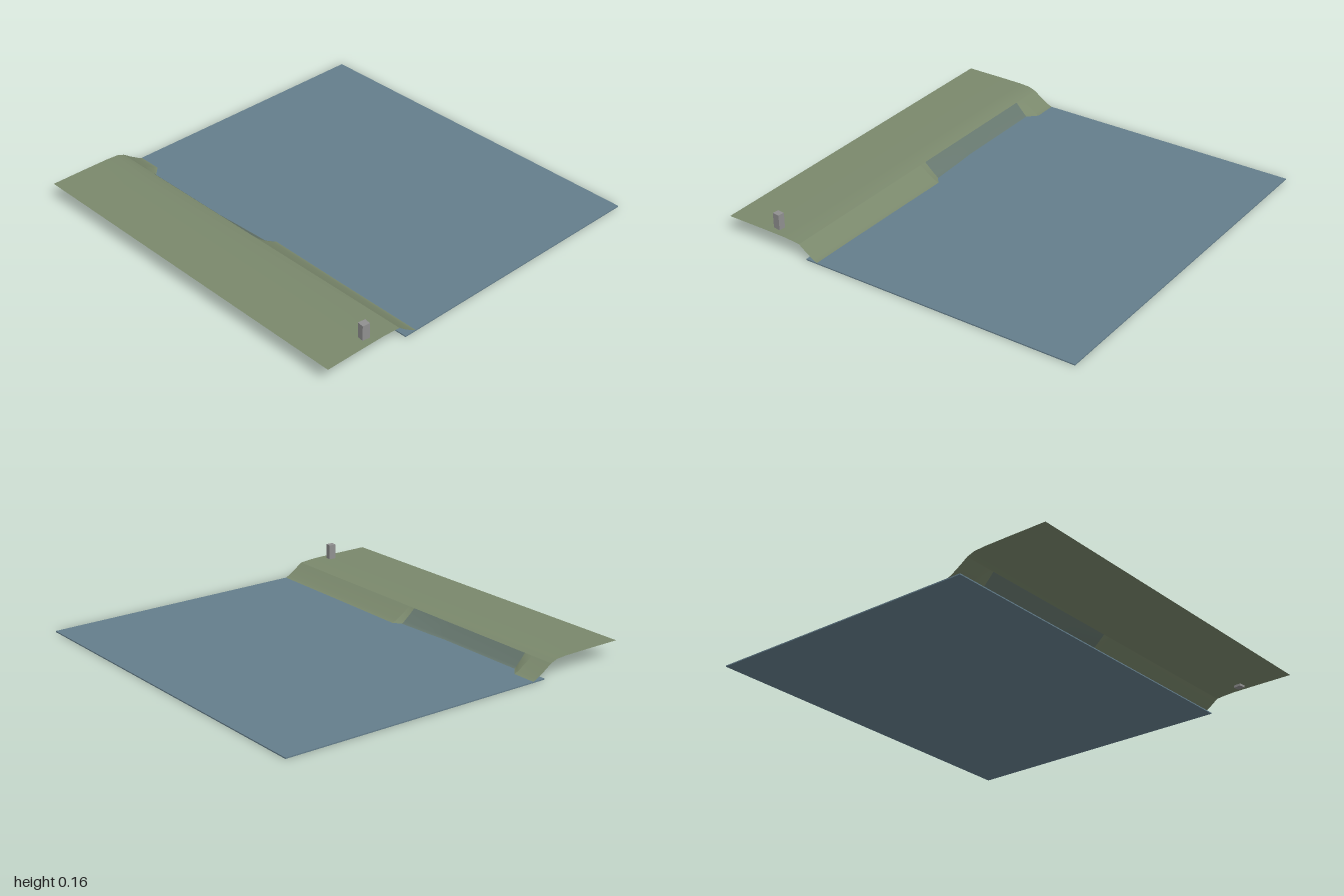
import * as THREE from 'three';

const material = (color) => new THREE.MeshStandardMaterial({ color, side: THREE.DoubleSide });
const grass = material(0x7a886c);
const wetBank = material(0x67786f);
const water = material(0x647e8c);
const stone = material(0x909090);

// Ground falls gently towards the front
const groundHeight = (z) => 0.088 - 0.005 * z;

// Cross-sections as [x, y]: the full bank, and the bank cut back by the inlet
const fullBank = [[-0.56, 0.074], [-0.52, 0.046], [-0.47, 0.015], [-0.445, 0.005], [-0.39, 0.001]];
const cutBank = [[-0.56, 0.074], [-0.535, 0.046], [-0.507, 0.018], [-0.495, 0.005], [-0.45, 0.001]];

// Meadow profile at depth z, dropping softly at its rim
const meadowRow = (z) => [
  [-1, groundHeight(z)], [-0.8, groundHeight(z)], [-0.66, groundHeight(z) - 0.001],
  [-0.6, groundHeight(z) - 0.005], [-0.56, 0.074],
];

// Bank profile blended between full (0) and cut back (1)
const bankRow = (cut) => fullBank.map(([x, y], i) => [
  THREE.MathUtils.lerp(x, cutBank[i][0], cut),
  THREE.MathUtils.lerp(y, cutBank[i][1], cut),
]);

// Surface joining profiles placed along z
function loft(name, rows, mat) {
  const positions = [];
  const index = [];
  const n = rows[0].points.length;
  rows.forEach(({ z, points }) => points.forEach(([x, y]) => positions.push(x, y, z)));
  for (let r = 0; r < rows.length - 1; r++) {
    for (let i = 0; i < n - 1; i++) {
      const a = r * n + i;
      index.push(a, a + n, a + 1, a + 1, a + n, a + n + 1);
    }
  }
  const geometry = new THREE.BufferGeometry();
  geometry.setAttribute('position', new THREE.Float32BufferAttribute(positions, 3));
  geometry.setIndex(index);
  geometry.computeVertexNormals();
  const mesh = new THREE.Mesh(geometry, mat);
  mesh.name = name;
  return mesh;
}

function box(name, size, position, mat) {
  const mesh = new THREE.Mesh(new THREE.BoxGeometry(...size), mat);
  mesh.position.set(...position);
  mesh.name = name;
  return mesh;
}

export function createModel() {
  const group = new THREE.Group();
  group.name = 'shoreline';

  // Meadow above the shore
  const meadowRows = Array.from({ length: 9 }, (_, i) => {
    const z = -1 + i * 0.25;
    return { z, points: meadowRow(z) };
  });
  group.add(loft('meadow', meadowRows, grass));

  // Bank sections as [z, cut] stations; separate sections keep the inlet corners sharp
  const sections = [
    ['backBank', [[-1, 0], [-0.87, 0]], grass],
    ['inletBackEnd', [[-0.87, 0], [-0.82, 1]], grass],
    ['inletBank', [[-0.82, 1], [-0.3, 1], [-0.2, 0.85], [0.01, 0.65]], wetBank],
    ['inletFrontEnd', [[0.01, 0.65], [0.05, 0]], grass],
    ['frontBank', [[0.05, 0], [0.5, 0.1], [1, 0.15]], grass],
  ];
  for (const [name, stations, mat] of sections) {
    group.add(loft(name, stations.map(([z, cut]) => ({ z, points: bankRow(cut) })), mat));
  }

  // Thin sheet of water reaching under the bank
  group.add(box('water', [1.52, 0.006, 2], [0.24, 0.003, 0], water));

  // Small marker post, slightly turned
  const post = box('markerPost', [0.04, 0.093, 0.035], [-0.73, 0.117, 0.945], stone);
  post.rotation.y = -0.12;
  group.add(post);

  return group;
}
